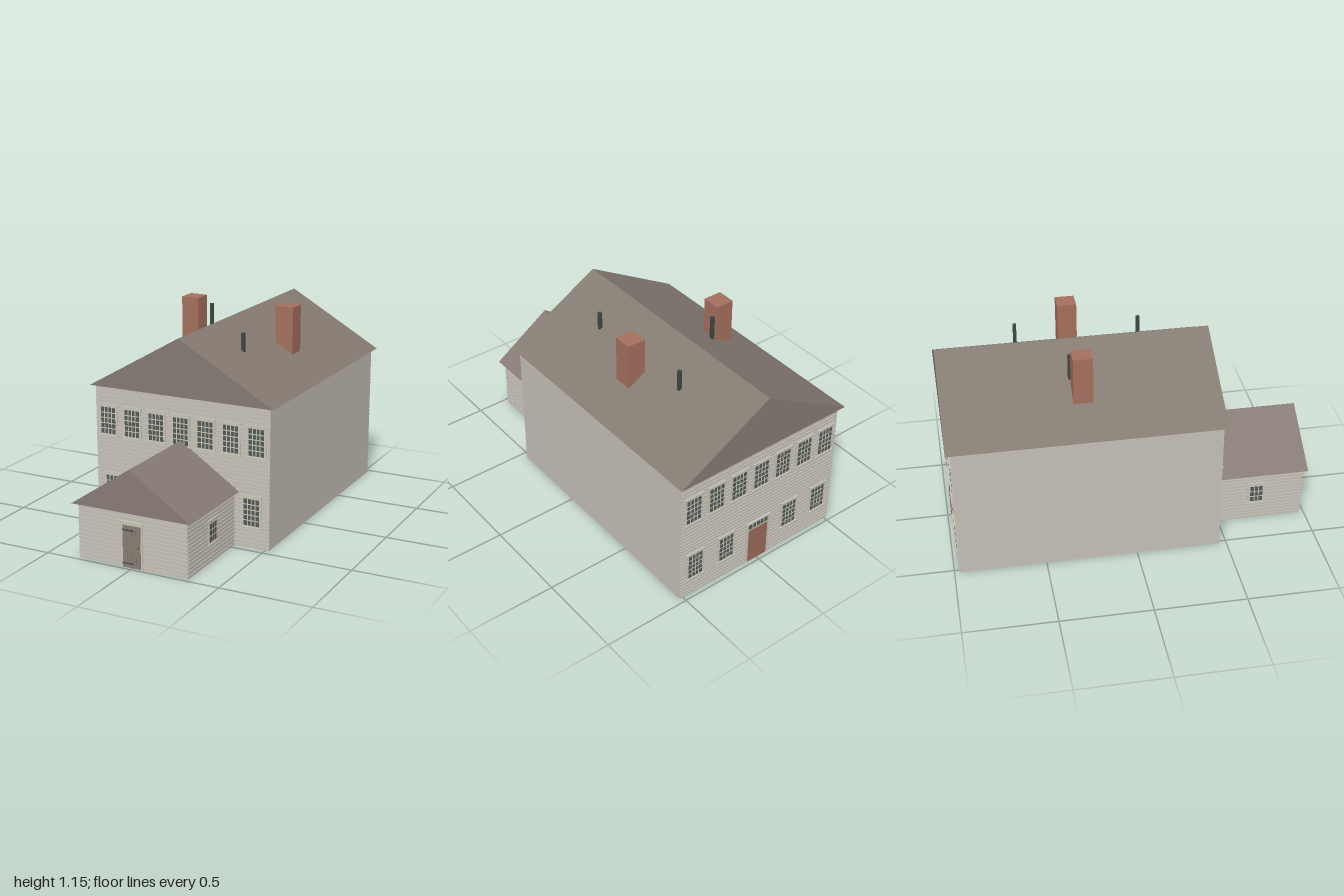
import * as THREE from 'three';

const mat = (name, color, side = THREE.FrontSide) => {
  const m = new THREE.MeshStandardMaterial({ color, side });
  m.name = name;
  return m;
};

export function createModel() {
  const M = {
    wall: mat('wall paint', 0xc6c1b6, THREE.DoubleSide),
    trim: mat('trim paint', 0xc8c5b8),
    roof: mat('roof shingle', 0x857b72),
    wingRoof: mat('wing roof shingle', 0x887b75),
    brick: mat('brick', 0xa5705f),
    glass: mat('window glass', 0x555a56),
    iron: mat('dark iron', 0x414844),
    plank: mat('plank door', 0x887c73),
    redDoor: mat('red door', 0x9c6a5a),
  };
  const model = new THREE.Group();
  model.name = 'house';

  const add = (parent, name, geometry, material) => {
    const mesh = new THREE.Mesh(geometry, material);
    mesh.name = name;
    parent.add(mesh);
    return mesh;
  };
  // Box given by its minimum and maximum on each axis
  const box = (parent, name, material, x0, x1, y0, y1, z0, z1) => {
    const g = new THREE.BoxGeometry(x1 - x0, y1 - y0, z1 - z0);
    g.translate((x0 + x1) / 2, (y0 + y1) / 2, (z0 + z1) / 2);
    return add(parent, name, g, material);
  };
  // Group on a wall whose local +z points out of that wall
  const onWall = (name, x, y, z, turn = 0) => {
    const g = new THREE.Group();
    g.name = name;
    g.position.set(x, y, z);
    g.rotation.y = turn;
    model.add(g);
    return g;
  };

  // Hollow body, open underneath
  const shell = (name, w, h, z0, z1) => {
    const mesh = box(model, name, M.wall, -w, w, 0, h, z0, z1);
    const index = Array.from(mesh.geometry.index.array);
    index.splice(18, 6);
    mesh.geometry.setIndex(index);
    mesh.geometry.clearGroups();
  };
  // Solid gable roof with its ridge along z
  const gableRoof = (name, material, w, y0, y1, z0, z1) => {
    const s = new THREE.Shape();
    s.moveTo(-w, y0);
    s.lineTo(w, y0);
    s.lineTo(0, y1);
    s.closePath();
    const g = new THREE.ExtrudeGeometry(s, { depth: z1 - z0, bevelEnabled: false });
    g.translate(0, 0, z0);
    add(model, name, g, material);
  };
  // Horizontal weatherboards with narrow gaps
  const clapboards = (name, halfWidth, height, x, z, turn) => {
    const g = onWall(name, x, 0, z, turn);
    const pitch = 0.0215;
    for (let y = 0; y + 0.015 < height; y += pitch) {
      box(g, 'clapboard', M.wall, -halfWidth, halfWidth, y, y + 0.015, -0.001, 0.004);
    }
  };
  // Glass plate with a grid of glazing bars
  const panes = (g, w, y0, y1, cols, rows) => {
    box(g, 'glass', M.glass, -w, w, y0, y1, 0.004, 0.0085);
    const t = 0.0026;
    for (let i = 1; i < cols; i++) {
      const x = -w + (2 * w * i) / cols;
      box(g, 'glazingBar', M.trim, x - t, x + t, y0, y1, 0.007, 0.0095);
    }
    for (let i = 1; i < rows; i++) {
      const y = y0 + ((y1 - y0) * i) / rows;
      box(g, 'glazingBar', M.trim, -w, w, y - t, y + t, 0.007, 0.0095);
    }
  };
  // Window: casing, sill, head and glazing; y = 0 is the sill
  const sashWindow = (x, y, z, turn, w = 0.056, h = 0.175, gw = 0.044, gy = 0.009, gh = 0.147, cols = 4, rows = 5) => {
    const g = onWall('window', x, y, z, turn);
    box(g, 'casing', M.trim, -w, w, 0, h, 0, 0.0075);
    box(g, 'sill', M.trim, -w - 0.004, w + 0.004, -0.004, 0.003, 0, 0.013);
    box(g, 'head', M.trim, -w - 0.002, w + 0.002, h - 0.008, h, 0, 0.011);
    panes(g, gw, gy, gy + gh, cols, rows);
  };

  const front = 0.455, back = -0.97, wingFront = 0.975;

  // Main block
  shell('mainWalls', 0.52, 0.775, back, front);
  gableRoof('mainRoof', M.roof, 0.545, 0.775, 1.09, -1, 0.48);
  clapboards('frontClapboards', 0.52, 0.775, 0, front, 0);
  clapboards('backClapboards', 0.52, 0.775, 0, back, Math.PI);

  // Front wing
  shell('wingWalls', 0.315, 0.3, front, wingFront);
  gableRoof('wingRoof', M.wingRoof, 0.345, 0.3, 0.533, 0.445, 1);
  clapboards('wingFrontClapboards', 0.315, 0.3, 0, wingFront, 0);
  for (const s of [-1, 1]) {
    const mid = (front + wingFront) / 2, turn = (s * Math.PI) / 2;
    clapboards('wingSideClapboards', (wingFront - front) / 2, 0.3, s * 0.315, mid, turn);
    sashWindow(s * 0.315, 0.104, mid, turn, 0.05, 0.134, 0.035, 0.012, 0.098, 3, 3);
  }

  // Upper windows on both gable ends
  for (let i = -3; i <= 3; i++) {
    sashWindow(i * 0.148, 0.501, front, 0);
    sashWindow(i * 0.148, 0.501, back, Math.PI);
  }
  // Lower windows
  for (const s of [-1, 1]) {
    sashWindow(s * 0.418, 0.115, front, 0);
    sashWindow(s * 0.425, 0.115, back, Math.PI);
    sashWindow(s * 0.218, 0.115, back, Math.PI);
  }

  // Plank door on the wing
  const door = onWall('frontDoor', 0, 0, wingFront);
  box(door, 'doorCasing', M.trim, -0.062, 0.062, 0, 0.247, 0, 0.008);
  box(door, 'doorHead', M.trim, -0.066, 0.066, 0.243, 0.251, 0, 0.013);
  for (let i = 0; i < 4; i++) {
    const x = -0.052 + i * 0.026;
    box(door, 'plank', M.plank, x, x + 0.0252, 0.002, 0.23, 0.004, 0.0105);
  }
  for (const y of [0.025, 0.205]) {
    box(door, 'strapHinge', M.iron, -0.054, 0.012, y - 0.003, y + 0.003, 0.008, 0.0125);
  }
  box(door, 'doorKnob', M.iron, 0.037, 0.043, 0.113, 0.121, 0.008, 0.016);

  // Back door with a transom light
  const rear = onWall('backDoor', 0, 0, back, Math.PI);
  box(rear, 'doorCasing', M.trim, -0.078, 0.078, 0, 0.272, 0, 0.0075);
  box(rear, 'doorHead', M.trim, -0.082, 0.082, 0.268, 0.277, 0, 0.013);
  box(rear, 'doorPanel', M.redDoor, -0.064, 0.064, 0.002, 0.222, 0.004, 0.0095);
  panes(rear, 0.064, 0.232, 0.26, 5, 1);

  // Chimneys
  for (const s of [-1, 1]) {
    box(model, 'chimney', M.brick, s * 0.2925 - 0.0525, s * 0.2925 + 0.0525, 0.86, 1.155, -0.31, -0.205);
  }
  // Roof vent pipes: x, z, top
  for (const [x, z, top] of [[-0.209, -0.31, 1.108], [0.206, 0.13, 1.07], [0.206, -0.552, 1.086]]) {
    box(model, 'ventPipe', M.iron, x - 0.009, x + 0.009, 0.94, top, z - 0.009, z + 0.009);
  }
  return model;
}
